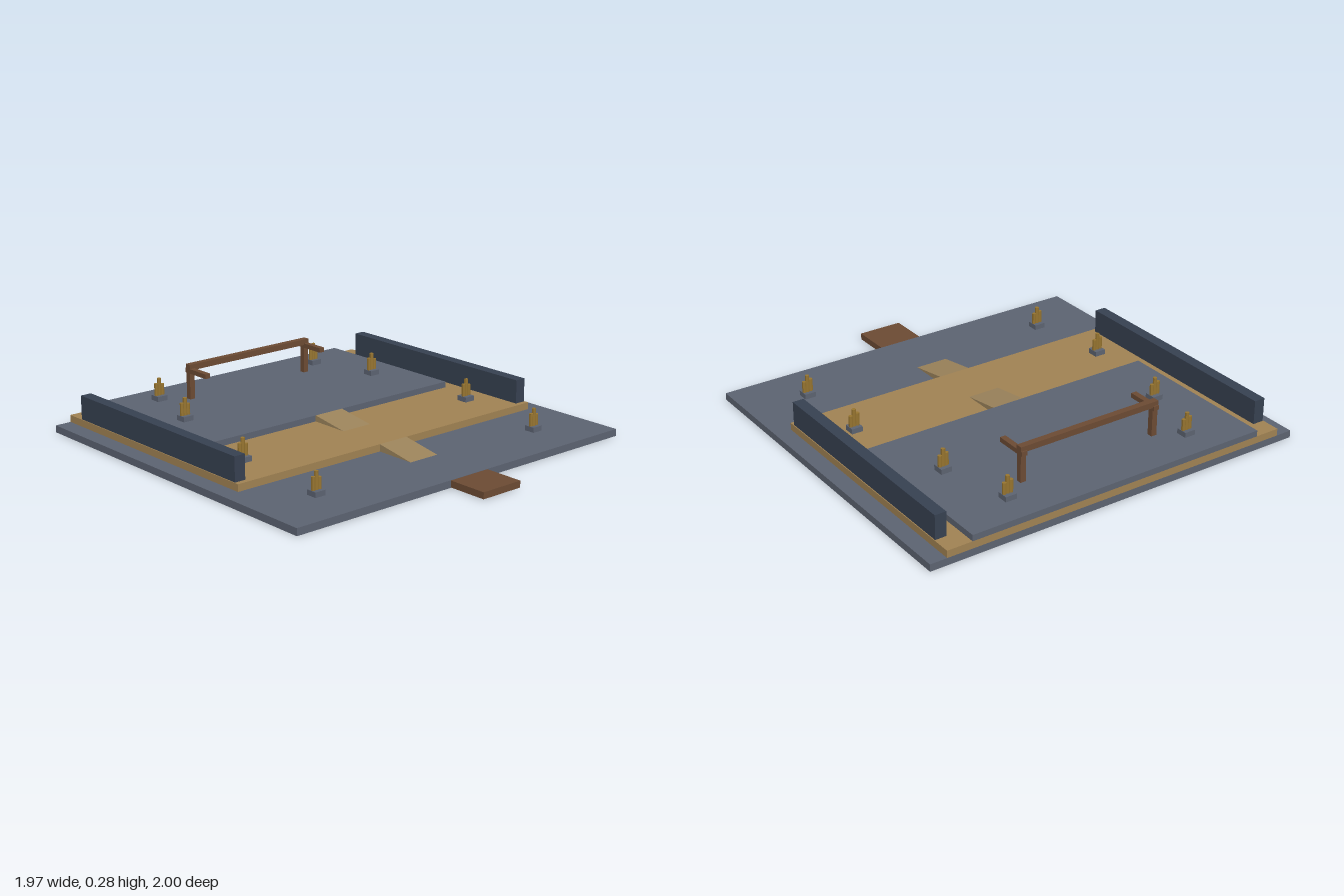
import * as THREE from 'three';

const mat = (color) => new THREE.MeshStandardMaterial({ color, flatShading: true });

export function createModel() {
  const model = new THREE.Group();
  const slate = mat(0x5b6270), sand = mat(0x9f8152), dark = mat(0x364050);
  const wood = mat(0x6b4a33), gold = mat(0x96742f), rampSand = mat(0x9a825a);

  // Box given by its limits along each axis
  const block = (name, material, [x0, x1], [y0, y1], [z0, z1], parent = model) => {
    const mesh = new THREE.Mesh(new THREE.BoxGeometry(x1 - x0, y1 - y0, z1 - z0), material);
    mesh.position.set((x0 + x1) / 2, (y0 + y1) / 2, (z0 + z1) / 2);
    mesh.name = name;
    parent.add(mesh);
    return mesh;
  };

  // Stepped terraces and entry plank
  block('lowerTerrace', slate, [-0.983, 0.983], [0, 0.035], [-1, 0.8]);
  block('middleTerrace', sand, [-0.9, 0.9], [0.035, 0.07], [-1, 0.307]);
  block('upperTerrace', slate, [-0.775, 0.775], [0.07, 0.1], [-1, -0.145]);
  block('entryPlank', wood, [-0.113, 0.113], [0.002, 0.034], [0.8, 1]);

  // Wedge ramps sloping down towards the front
  const ramp = (name, y, height, z, length) => {
    const side = new THREE.Shape([
      new THREE.Vector2(0, 0), new THREE.Vector2(length, 0), new THREE.Vector2(0, height),
    ]);
    const geometry = new THREE.ExtrudeGeometry(side, { depth: 0.165, bevelEnabled: false });
    geometry.rotateY(-Math.PI / 2);
    const mesh = new THREE.Mesh(geometry, rampSand);
    mesh.position.set(0.0825, y, z);
    mesh.name = name;
    model.add(mesh);
  };
  ramp('lowerRamp', 0.035, 0.035, 0.307, 0.205);
  ramp('upperRamp', 0.07, 0.03, -0.145, 0.2);

  // Side walls
  for (const s of [-1, 1]) {
    block(s > 0 ? 'leftWall' : 'rightWall', dark,
      [s * 0.868 - 0.028, s * 0.868 + 0.028], [0.07, 0.188], [-0.905, 0.282]);
  }

  // Timber frame: crossbeam, two posts, forward arms
  const frame = new THREE.Group();
  frame.name = 'timberFrame';
  model.add(frame);
  block('crossbeam', wood, [-0.375, 0.375], [0.246, 0.275], [-0.774, -0.742], frame);
  for (const s of [-1, 1]) {
    const x = [s * 0.36 - 0.014, s * 0.36 + 0.014];
    block('post', wood, x, [0.1, 0.25], [-0.772, -0.744], frame);
    block('arm', wood, x, [0.231, 0.254], [-0.78, -0.618], frame);
  }

  // Candle clusters in mirrored pairs: [x, terrace height, z]
  const spots = [[0.49, 0.1, -0.84], [0.588, 0.1, -0.495], [0.695, 0.07, 0.08], [0.672, 0.035, 0.555]];
  for (const [x, y, z] of spots) {
    for (const s of [-1, 1]) {
      const cluster = new THREE.Group();
      cluster.name = 'candleCluster';
      cluster.position.set(s * x, y, z);
      block('candleBase', slate, [-0.028, 0.028], [0, 0.025], [-0.028, 0.028], cluster);
      [0.062, 0.085, 0.055].forEach((height, i) => {
        const candle = new THREE.Mesh(new THREE.CylinderGeometry(0.01, 0.01, height, 6), gold);
        candle.position.set((i - 1) * 0.0172, 0.025 + height / 2, 0);
        candle.name = 'candle';
        cluster.add(candle);
      });
      model.add(cluster);
    }
  }
  return model;
}
